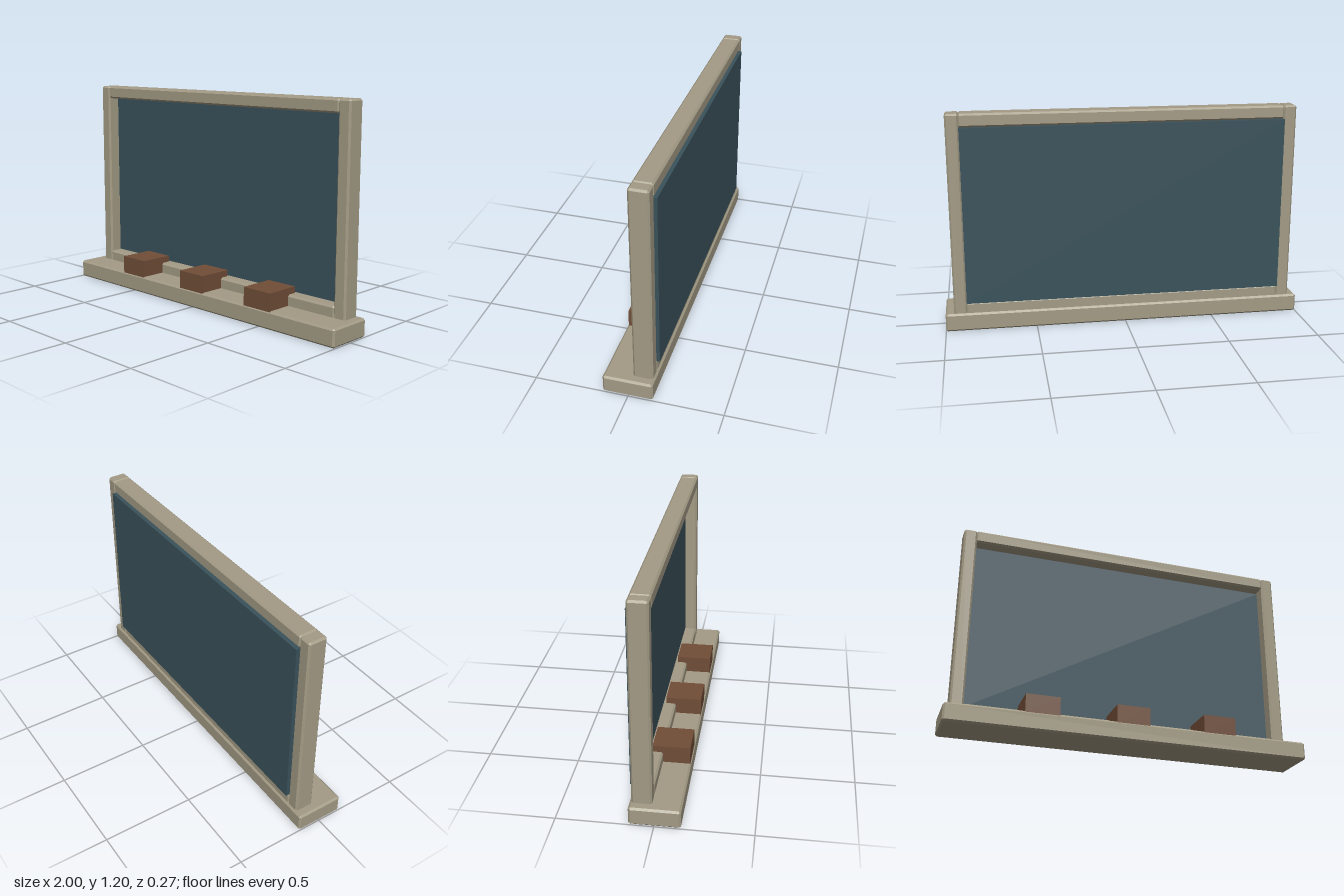
import * as THREE from 'three';
import { ConvexGeometry } from 'three/addons/geometries/ConvexGeometry.js';

const wood = new THREE.MeshStandardMaterial({ color: 0xa39b85 });
const slate = new THREE.MeshStandardMaterial({ color: 0x3a525b });
const felt = new THREE.MeshStandardMaterial({ color: 0x704d37 });

// Box with single-segment chamfers on every edge, given by min/max corners
function chamferedBox(size, c) {
  const points = [];
  for (const sx of [-1, 1]) for (const sy of [-1, 1]) for (const sz of [-1, 1]) {
    const s = [sx, sy, sz];
    for (let full = 0; full < 3; full++) {
      points.push(new THREE.Vector3(...s.map((v, i) => v * (size[i] / 2 - (i === full ? 0 : c)))));
    }
  }
  return new ConvexGeometry(points);
}

function addBlock(group, name, min, max, material, chamfer = 0) {
  const size = max.map((v, i) => v - min[i]);
  const geometry = chamfer ? chamferedBox(size, chamfer) : new THREE.BoxGeometry(...size);
  const mesh = new THREE.Mesh(geometry, material);
  mesh.name = name;
  mesh.position.set(...max.map((v, i) => (v + min[i]) / 2));
  group.add(mesh);
}

export function createModel() {
  const model = new THREE.Group();
  model.name = 'chalkboard';
  const chamfer = 0.01;

  // Ledge that carries the frame
  addBlock(model, 'base', [-1, 0, -0.13], [1, 0.1, 0.135], wood, chamfer);

  // Upright posts
  addBlock(model, 'leftPost', [0.88, 0.085, -0.12], [0.953, 1.203, -0.015], wood, chamfer);
  addBlock(model, 'rightPost', [-0.953, 0.085, -0.12], [-0.88, 1.203, -0.015], wood, chamfer);

  // Horizontal rails
  addBlock(model, 'topRail', [-0.885, 1.13, -0.12], [0.885, 1.203, -0.015], wood, chamfer);
  addBlock(model, 'bottomRail', [-0.885, 0.087, -0.12], [0.885, 0.16, -0.015], wood, chamfer);

  // Writing panel, standing slightly proud of the back
  addBlock(model, 'board', [-0.882, 0.16, -0.136], [0.882, 1.13, -0.085], slate);

  // Erasers resting on the ledge and running back over the lower rail
  [-0.495, -0.002, 0.492].forEach((x, i) => {
    addBlock(model, `eraser${i + 1}`, [x - 0.092, 0.095, -0.07], [x + 0.092, 0.196, 0.13], felt);
  });

  return model;
}
